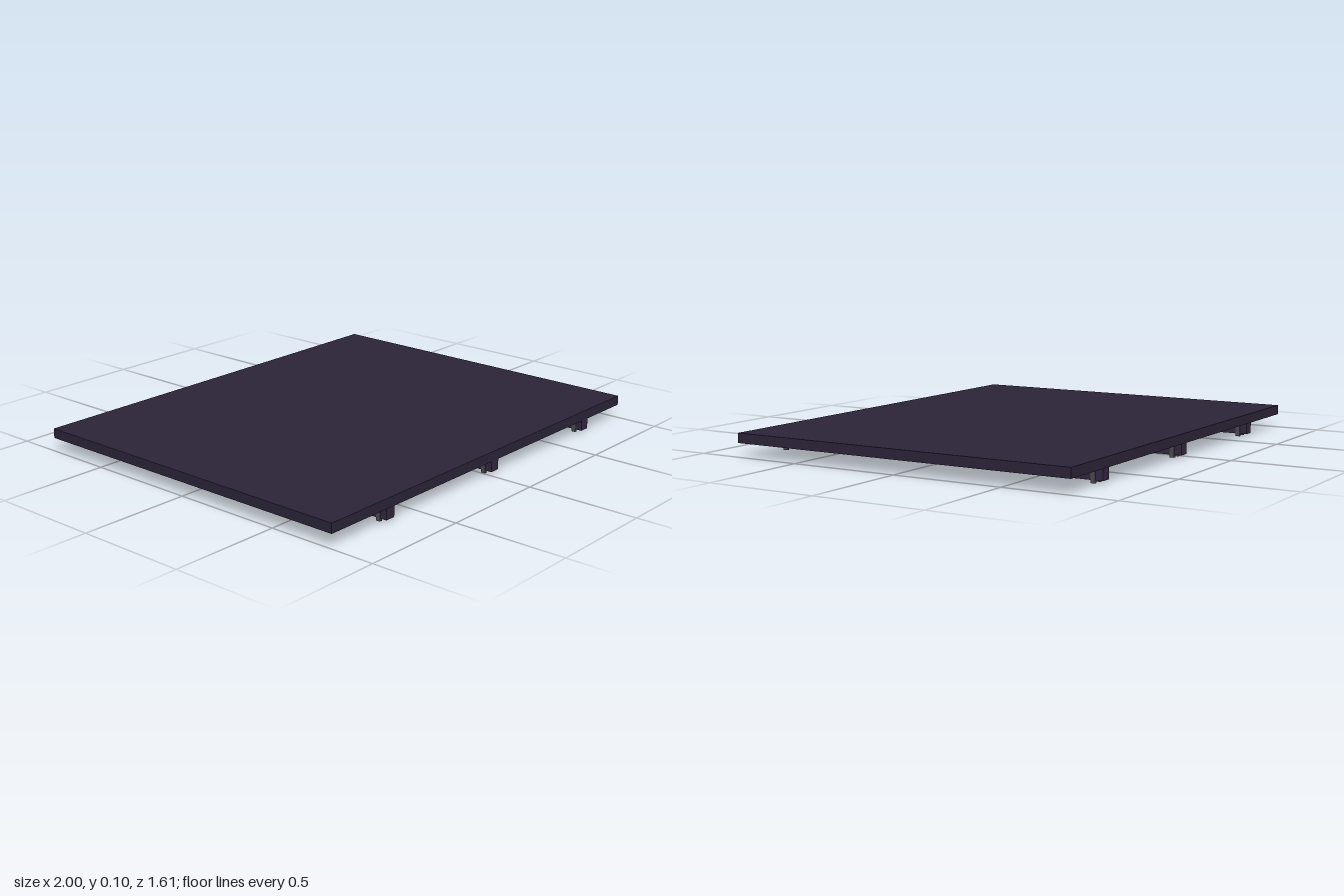
import * as THREE from 'three';

export function createModel() {
  const model = new THREE.Group();
  const panelMat = new THREE.MeshStandardMaterial({ color: 0x2b2438 });
  const railMat = new THREE.MeshStandardMaterial({ color: 0x32283f });
  const metalMat = new THREE.MeshStandardMaterial({ color: 0x4a4a50 });

  // Box given by its centre in x and z and its bottom and top heights
  function box(name, parent, mat, w, d, x, z, y0, y1) {
    const mesh = new THREE.Mesh(new THREE.BoxGeometry(w, y1 - y0, d), mat);
    mesh.position.set(x, (y0 + y1) / 2, z);
    mesh.name = name;
    parent.add(mesh);
    return mesh;
  }

  // Flat panel
  box('panel', model, panelMat, 2, 1.606, 0, 0, 0.061, 0.104);

  // Support rails under the panel, each with a pair of clips near both ends
  for (const x of [-0.655, 0.033, 0.723]) {
    const support = new THREE.Group();
    support.name = 'support';
    support.position.x = x;
    box('rail', support, railMat, 0.048, 1.6, 0, 0, 0.012, 0.061);
    for (const z of [-0.757, 0.76]) {
      for (const side of [-1, 1]) {
        box('railClip', support, metalMat, 0.013, 0.02, side * 0.0205, z, 0, 0.061);
      }
    }
    model.add(support);
  }

  // Small button on the underside
  const button = new THREE.Mesh(new THREE.CylinderGeometry(0.013, 0.013, 0.01, 16), metalMat);
  button.name = 'undersideButton';
  button.position.set(-0.31, 0.057, 0);
  model.add(button);

  return model;
}
